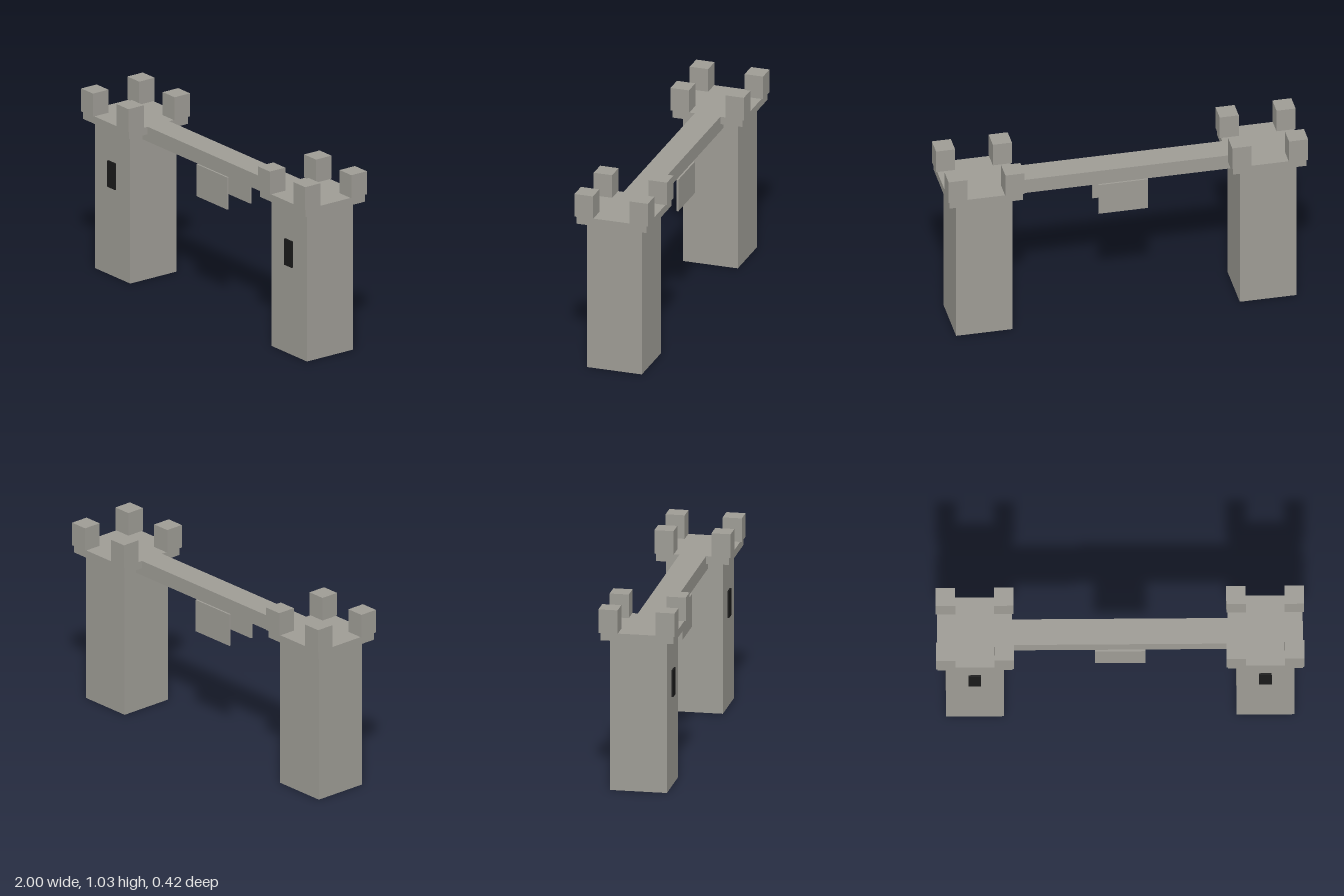
import * as THREE from 'three';

export function createModel() {
  const stone = new THREE.MeshStandardMaterial({ color: 0x9e9c95 });
  stone.name = 'stone';
  const dark = new THREE.MeshStandardMaterial({ color: 0x1a1a1a });
  dark.name = 'window black';

  const model = new THREE.Group();
  model.name = 'gatehouse';

  // Box placed by its centre in x and z and by its bottom in y
  function box(parent, name, material, w, h, d, x, y, z) {
    const mesh = new THREE.Mesh(new THREE.BoxGeometry(w, h, d), material);
    mesh.name = name;
    mesh.position.set(x, y + h / 2, z);
    parent.add(mesh);
  }

  // Two towers, each with a cap slab, corner merlons and a front window slit
  for (const side of [-1, 1]) {
    const tower = new THREE.Group();
    tower.name = side > 0 ? 'leftTower' : 'rightTower';
    tower.position.x = side * 0.789;
    box(tower, 'towerShaft', stone, 0.315, 0.857, 0.315, 0, 0, 0);
    box(tower, 'towerCap', stone, 0.408, 0.043, 0.404, 0, 0.857, 0);
    for (const sx of [-1, 1]) {
      for (const sz of [-1, 1]) {
        box(tower, 'merlon', stone, 0.106, 0.133, 0.106, sx * 0.158, 0.9, sz * 0.158);
      }
    }
    box(tower, 'windowSlit', dark, 0.068, 0.151, 0.0095, 0, 0.507, 0.1635);
    model.add(tower);
  }

  // Bridge between the towers
  box(model, 'bridge', stone, 1.27, 0.085, 0.148, 0, 0.815, 0);

  // Thin hanging panels on the front and back of the bridge
  for (const sz of [-1, 1]) {
    box(model, 'hangingPanel', stone, 0.274, 0.185, 0.01, 0, 0.63, sz * 0.079);
  }

  return model;
}
